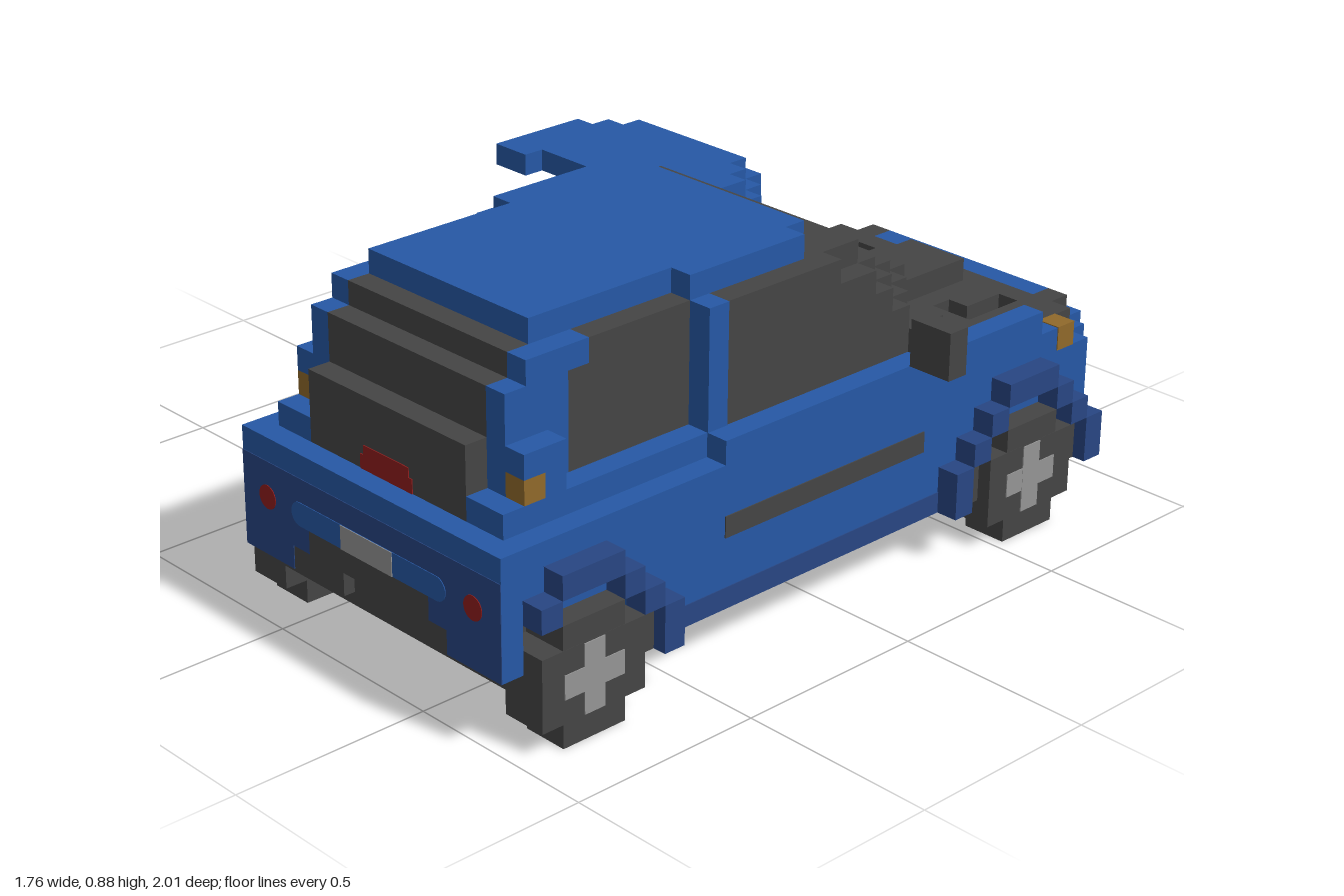
import * as THREE from 'three';

const U = 1 / 17; // one block
const mat = (name, color) => new THREE.MeshStandardMaterial({ name, color });

export function createModel() {
  const blue = mat('body blue', 0x2658a5), navy = mat('trim blue', 0x284683);
  const dark = mat('dark grey', 0x454545), pale = mat('light grey', 0x959595);
  const red = mat('lamp red', 0x901d1d), amber = mat('lamp amber', 0x90692b);

  const model = new THREE.Group();
  model.name = 'blockCar';
  const car = new THREE.Group();
  car.name = 'car';
  car.scale.setScalar(U);
  car.position.x = 5.5 * U;
  model.add(car);

  // Box given by its limits, in blocks
  const box = (name, m, x0, x1, y0, y1, z0, z1, parent = car) => {
    const mesh = new THREE.Mesh(new THREE.BoxGeometry(x1 - x0, y1 - y0, z1 - z0), m);
    mesh.position.set((x0 + x1) / 2, (y0 + y1) / 2, (z0 + z1) / 2);
    mesh.name = name;
    parent.add(mesh);
  };
  const wide = (name, m, w, ...r) => box(name, m, -w, w, ...r);
  const pair = (name, m, x0, x1, ...r) => {
    box(name + 'Left', m, x0, x1, ...r);
    box(name + 'Right', m, -x1, -x0, ...r);
  };
  // Thin plate with round ends, facing +z or -z
  const pill = (name, m, w, h, y, z, x = 0, back = false) => {
    const s = new THREE.Shape(), r = h / 2, a = w / 2 - r;
    s.absarc(a, 0, r, -Math.PI / 2, Math.PI / 2, false);
    s.absarc(-a, 0, r, Math.PI / 2, Math.PI * 1.5, false);
    const g = new THREE.ExtrudeGeometry(s, { depth: 0.06, bevelEnabled: false, curveSegments: 8 });
    const mesh = new THREE.Mesh(g, m);
    mesh.position.set(x, y, z);
    if (back) mesh.rotation.y = Math.PI;
    mesh.name = name;
    car.add(mesh);
  };

  // Underbody, open at the wheels, with a stepped centre tunnel
  wide('core', dark, 6.5, 5, 8, -7, 16);
  wide('floor', dark, 6.5, 3, 5, -7, 10);
  pair('floorRail', dark, 1.5, 6.5, 2.2, 3, -7, 10);
  for (const z of [-4, 1, 6]) wide('tunnelBrace', dark, 1.5, 2.2, 3, z, z + 2);
  wide('rearFloor', dark, 4.5, 2.5, 5, 10, 16);
  wide('frontFloor', dark, 4.5, 2.5, 5, -15, -7);
  wide('bayFloor', dark, 6.5, 5, 5.5, -15, -7);

  // Side panels with stepped wheel openings
  const outline = [[-15, 2], [-14, 2], [-14, 4], [-13, 4], [-13, 5], [-8, 5], [-8, 4], [-7, 4], [-7, 2],
    [10, 2], [10, 4], [11, 4], [11, 5], [16, 5], [16, 8], [6, 8], [6, 9], [-12, 9], [-12, 8], [-13, 8], [-13, 7], [-15, 7]];
  const panel = new THREE.ExtrudeGeometry(
    new THREE.Shape(outline.map(([a, b]) => new THREE.Vector2(a, b))), { depth: 1, bevelEnabled: false });
  for (const [name, x] of [['Left', 7.5], ['Right', -6.5]]) {
    const mesh = new THREE.Mesh(panel, blue);
    mesh.rotation.y = -Math.PI / 2;
    mesh.position.x = x;
    mesh.name = 'sidePanel' + name;
    car.add(mesh);
  }
  pair('rearBelt', blue, 4.5, 6.5, 8, 9, 6, 16);
  pair('sill', navy, 7.5, 7.54, 2, 2.9, -6, 9);
  pair('rubStrip', dark, 7.5, 7.55, 5, 5.9, -5, 6);

  // Wheels with hubs on both faces, liners and flared arches
  for (const [name, c] of [['front', -10.5], ['rear', 13.5]]) {
    pair(name + 'Tyre', dark, 6.5, 8.5, 1, 4, c - 2.5, c + 2.5);
    pair(name + 'TyreEnds', dark, 6.51, 8.49, 0, 5, c - 1.5, c + 1.5);
    pair(name + 'HubBar', pale, 6.46, 8.54, 2, 3, c - 1.45, c + 1.45);
    pair(name + 'HubPost', pale, 6.45, 8.55, 1.05, 3.95, c - 0.5, c + 0.5);
    pair(name + 'ArchTop', navy, 7.5, 8.5, 6, 7, c - 1.5, c + 1.5);
    for (const s of [-1, 1]) {
      const part = (n, m, x1, y0, y1, a, b) => {
        const z0 = Math.min(c + s * a, c + s * b);
        if (z0 < 16) pair(name + n, m, 7.5, x1, y0, y1, z0, z0 + 1);
      };
      part('ArchShoulder', navy, 8.5, 5, 6, 1.5, 2.5);
      part('ArchSide', navy, 8.5, 4, 5, 2.5, 3.5);
      part('ArchFoot', navy, 8.5, 2, 4, 3.5, 4.5);
      part('ArchLiner', dark, 7.9, 2, 4, 2.5, 3.5);
    }
  }

  // Rear bumper, lamps and plate
  wide('rearBumper', blue, 7.5, 4, 8, 16, 17);
  pair('rearBumperCorner', blue, 4.5, 7.5, 3, 4, 16, 17);
  wide('rearBumperTrim', navy, 7.5, 5, 7, 17, 17.03);
  pair('rearBumperTrimLow', navy, 3.5, 7.5, 4, 5, 17, 17.03);
  pair('rearBumperTrimCorner', navy, 4.5, 7.5, 3, 4, 17, 17.03);
  wide('rearValance', dark, 3.5, 4, 5, 17, 17.03);
  wide('rearValanceMiddle', dark, 1.5, 3, 4, 16, 16.5);
  pair('rearValanceBlock', dark, 1.5, 4.5, 3, 4, 16, 17);
  wide('rearValanceLow', dark, 6.5, 2, 3, 15, 16);
  pill('rearStripe', blue, 9, 1, 5.5, 17);
  wide('numberPlate', pale, 1.5, 5, 6, 17, 17.09);
  for (const x of [-6, 6]) pill('tailLamp', red, 1, 1, 5.5, 17, x);

  // Front bumper and grille
  wide('frontBumper', blue, 5.5, 2, 7, -17, -16);
  wide('frontBumperBack', blue, 6.5, 2, 7, -16, -15);
  wide('frontLip', navy, 5.5, 2, 4, -17.03, -17);
  pair('frontLipCorner', navy, 5.5, 6.5, 2, 4, -16.03, -16);
  wide('grille', dark, 4.5, 4, 6, -17.03, -17);
  wide('grilleTop', dark, 3.5, 6, 7.03, -17.03, -16);
  pair('bumperVent', dark, 5.5, 5.55, 5, 6, -17, -16);
  pill('frontPlate', pale, 3, 1, 5, -17.03, 0, true);
  pair('headlamp', pale, 5.55, 6.55, 4, 5, -16.05, -15);
  wide('noseStrip', blue, 4.5, 7, 8, -16, -15);
  pair('noseEnd', dark, 4.5, 5.5, 7, 8, -16, -14);
  pair('turnLamp', amber, 6.5, 7.54, 7, 8.04, -14, -13);

  // Engine bay
  wide('radiator', dark, 5.5, 5, 8, -15, -14);
  pair('bayShelf', dark, 5.5, 6.5, 5, 8, -15, -11);
  pair('innerWing', blue, 5.5, 6.5, 5, 8, -11, -7);
  wide('bulkhead', blue, 5.5, 5, 9, -8, -7);
  wide('engineBase', dark, 3.5, 5, 7, -14, -8);
  wide('engineBlock', dark, 2.5, 7, 8, -12, -9);
  wide('engineCover', dark, 3.5, 7, 8, -14, -12);
  wide('engineTop', dark, 1.5, 8, 9, -14, -9);
  pair('engineSide', dark, 2.5, 4.5, 5, 8, -11, -9);
  pair('suspensionTop', dark, 4.5, 5.5, 5, 8, -14, -10);

  // Windscreen: every row narrows toward its nose
  const rows = [
    [8, 10, [[6.5, -7, 5]]],
    [10, 11, [[6.5, -5, 5], [5.5, -6, -5], [4.5, -7, -6], [3.5, -8, -7]]],
    [11, 12, [[6.5, -4, 5], [5.5, -5, -4], [4.5, -6, -5]]],
    [12, 13, [[6.5, -3, 5], [5.5, -4, -3]]],
    [13, 14, [[6.5, -1, 5], [5.5, -3, -1]]],
  ];
  for (const [y0, y1, steps] of rows)
    for (const [w, z0, z1] of steps) wide('glassRow', dark, w, y0, y1, z0, z1);

  // Recessed rear side glass and stepped rear window
  wide('rearSideGlass', dark, 5.5, 9, 13, 5, 12);
  wide('rearSideGlassTop', dark, 5.5, 13, 14, 5, 11);
  wide('rearGlassLow', dark, 4.5, 8, 11, 12, 16);
  wide('rearGlassMiddle', dark, 4.5, 11, 13, 12, 15);
  wide('rearGlassTop', dark, 4.5, 13, 14, 11, 14);
  wide('brakeLamp', red, 1.5, 8, 8.6, 16, 16.04);
  wide('brakeLampTop', red, 1.3, 8.6, 9, 16, 16.04);

  // Pillars and roof
  pair('middlePillar', blue, 5.5, 6.54, 8, 14, 5, 6);
  pair('rearPillar', blue, 4.5, 5.5, 9, 13, 12, 15);
  pair('rearPillarTop', blue, 4.5, 5.5, 13, 14, 11, 14);
  pair('rearShoulder', blue, 5.5, 6.5, 10, 11, 13, 15);
  pair('rearShoulderFoot', blue, 5.5, 6.5, 9, 10, 13, 14);
  pair('rearAmberLamp', amber, 5.5, 6.5, 9, 10, 14, 15);
  wide('roof', blue, 4.5, 14, 15, -1, 13);
  pair('roofRail', blue, 4.5, 5.5, 14, 15, 0, 6);

  // Door mirrors
  pair('mirrorArm', dark, 6.5, 8.5, 9, 10, -6, -5);
  pair('mirror', dark, 7.5, 9.5, 9, 11, -5, -4);

  // Detached bonnet beside the car
  const bonnet = new THREE.Group();
  bonnet.name = 'bonnet';
  bonnet.position.x = -15;
  car.add(bonnet);
  wide('bonnetTop', blue, 5.5, 9, 10, -12, -8, bonnet);
  wide('bonnetTopNose', blue, 4.5, 9, 10, -13, -12, bonnet);
  wide('bonnetTopTip', blue, 3.5, 9, 10, -14, -13, bonnet);
  wide('bonnetTip', blue, 3.5, 8, 9, -15, -14, bonnet);
  wide('bonnetNose', blue, 4.5, 8, 9, -14, -13, bonnet);
  for (const s of [-1, 1]) {
    const side = (n, a, b, ...r) => box(n, blue, Math.min(s * a, s * b), Math.max(s * a, s * b), ...r, bonnet);
    side('bonnetHorn', 3.5, 5.5, 9, 10, -8, -7);
    side('bonnetEdge', 3.5, 5.5, 8, 9, -13, -12);
    side('bonnetSkirt', 4.5, 5.5, 8, 9, -12, -10);
  }
  return model;
}
